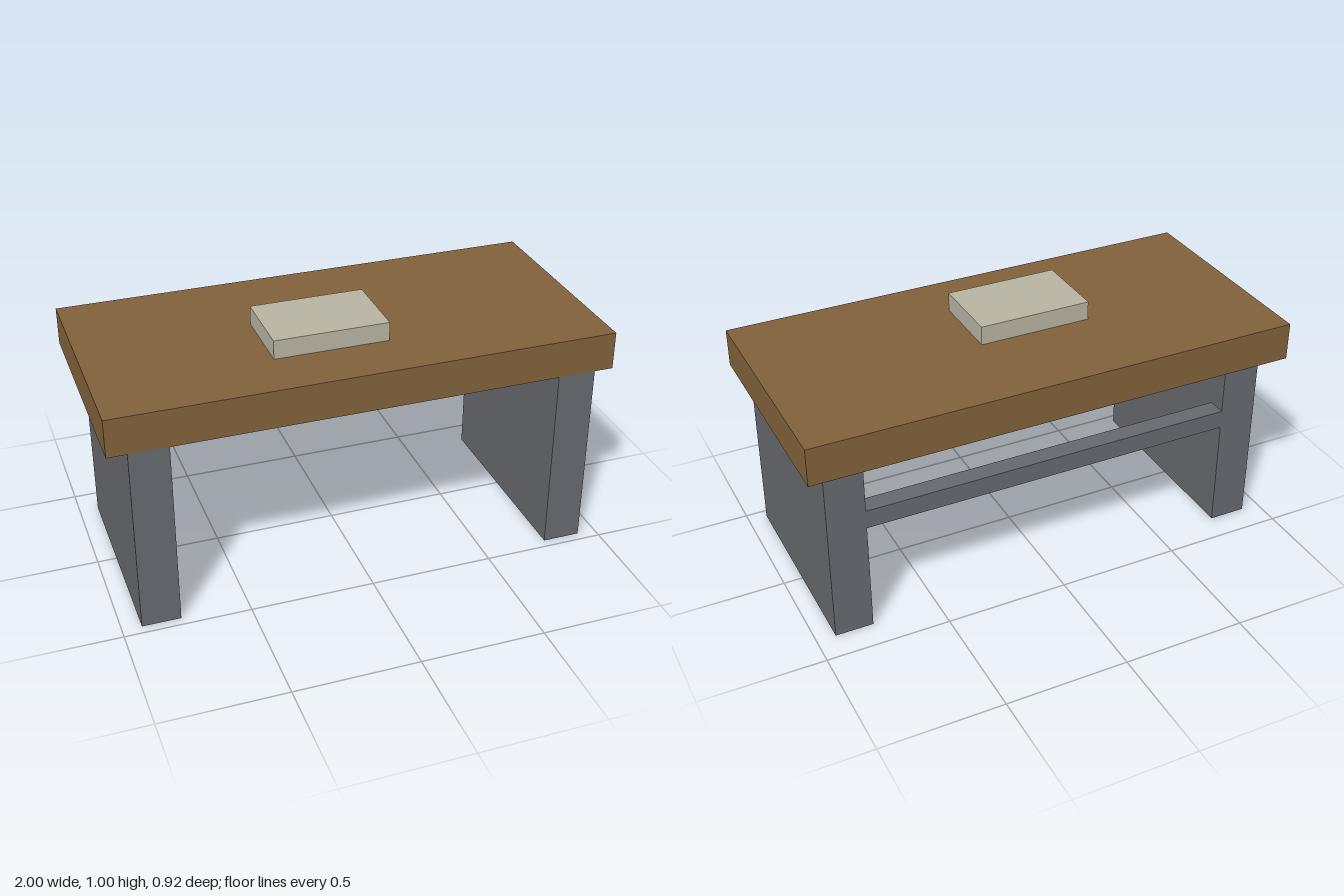
import * as THREE from 'three';

// The whole desk sits on a grid of 1/13 unit
const U = 1 / 13;

function material(name, color) {
  const m = new THREE.MeshStandardMaterial({ color });
  m.name = name;
  return m;
}

export function createModel() {
  const wood = material('brown wood', 0x80613a);
  const metal = material('grey metal', 0x65686d);
  const paper = material('pale paper', 0xb7b3a2);

  const desk = new THREE.Group();
  desk.name = 'desk';

  // Box given by its two opposite corners, in grid steps
  function addBox(name, mat, [x0, y0, z0], [x1, y1, z1]) {
    const geometry = new THREE.BoxGeometry((x1 - x0) * U, (y1 - y0) * U, (z1 - z0) * U);
    const mesh = new THREE.Mesh(geometry, mat);
    mesh.name = name;
    mesh.position.set((x0 + x1) / 2, (y0 + y1) / 2, (z0 + z1) / 2).multiplyScalar(U);
    desk.add(mesh);
  }

  addBox('tabletop', wood, [-13, 10, -6], [13, 12, 6]);

  // Panel legs, set in at the back and flush at the front
  addBox('leftLeg', metal, [10, 0, -5], [12, 10, 6]);
  addBox('rightLeg', metal, [-12, 0, -5], [-10, 10, 6]);

  // Rear bar joining the legs
  addBox('crossbar', metal, [-10, 6, -5], [10, 7, -4]);

  // Stack of paper on the tabletop
  addBox('paperStack', paper, [-4, 12, -1], [2, 13, 3]);

  return desk;
}
